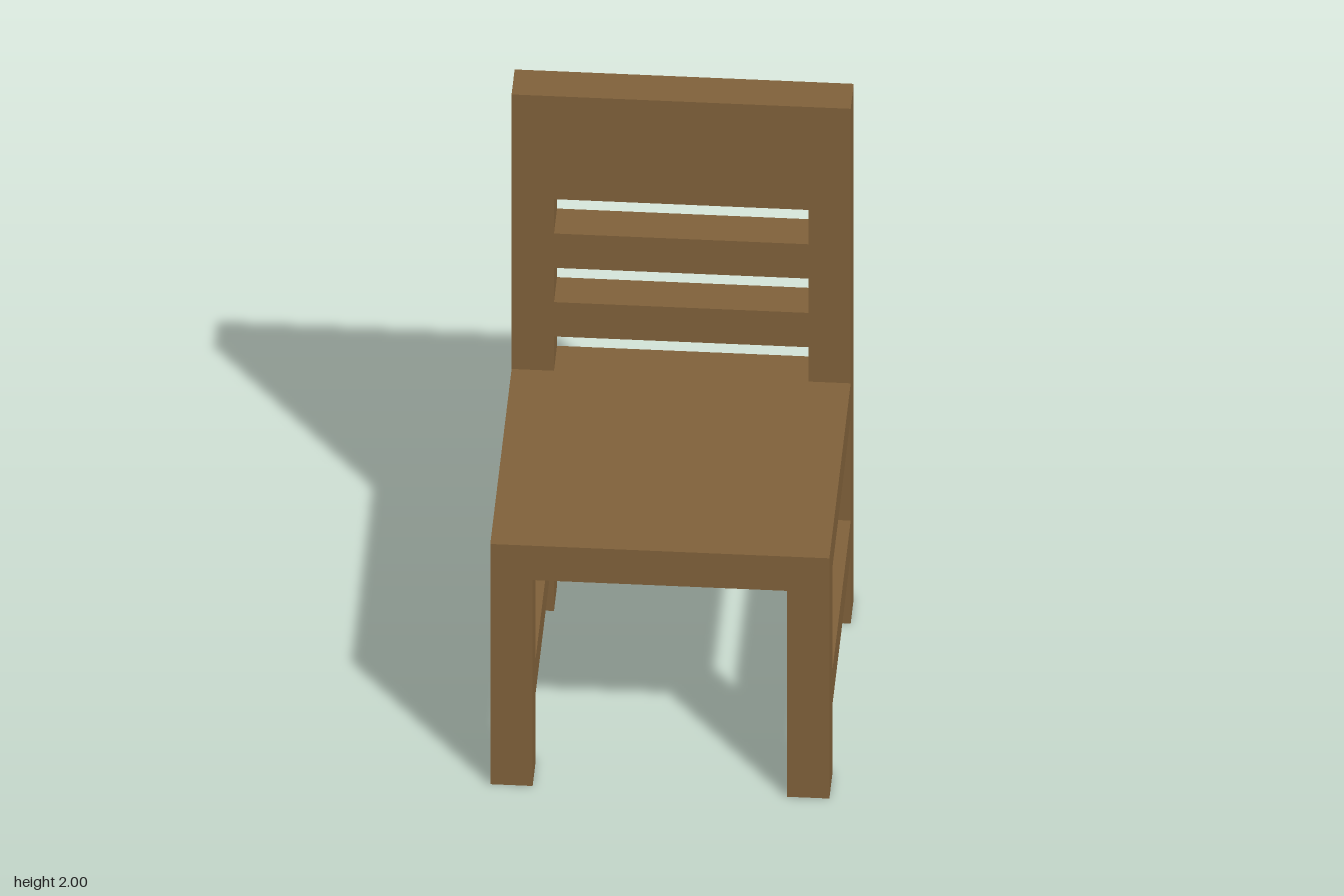
import * as THREE from 'three';

// The chair sits on a regular grid: 15 units tall, 8 wide, 8 deep
const U = 2 / 15;

export function createModel() {
  const chair = new THREE.Group();
  chair.name = 'chair';

  const wood = new THREE.MeshStandardMaterial({ color: 0x80613a });
  wood.name = 'brown wood';

  // Box given by its lower and upper corners in grid units
  const addBox = (name, [x0, y0, z0], [x1, y1, z1]) => {
    const geometry = new THREE.BoxGeometry((x1 - x0) * U, (y1 - y0) * U, (z1 - z0) * U);
    const mesh = new THREE.Mesh(geometry, wood);
    mesh.position.set((x0 + x1) / 2 * U, (y0 + y1) / 2 * U, (z0 + z1) / 2 * U);
    mesh.name = name;
    chair.add(mesh);
  };

  const points = (list) => list.map(([x, y]) => new THREE.Vector2(x * U, y * U));

  // Back frame: rear legs, slats and head panel cut from one board
  const outline = new THREE.Shape(points([
    [-4, 0], [-3, 0], [-3, 6], [3, 6], [3, 0], [4, 0], [4, 15], [-4, 15],
  ]));
  for (const y of [7, 9, 11]) {
    outline.holes.push(new THREE.Path(points([[-3, y], [-3, y + 1], [3, y + 1], [3, y]])));
  }
  const backGeometry = new THREE.ExtrudeGeometry(outline, { depth: U, bevelEnabled: false });
  const back = new THREE.Mesh(backGeometry, wood);
  back.position.z = -4 * U;
  back.name = 'backFrame';
  chair.add(back);

  // Seat slab, meeting the back frame
  addBox('seat', [-4, 6, -3], [4, 7, 4]);

  // Front legs and side stretchers, flush with the seat edges
  for (const [side, x] of [['right', -4], ['left', 3]]) {
    addBox(`${side}FrontLeg`, [x, 0, 3], [x + 1, 6, 4]);
    addBox(`${side}Stretcher`, [x, 2, -3], [x + 1, 3, 3]);
  }

  return chair;
}
